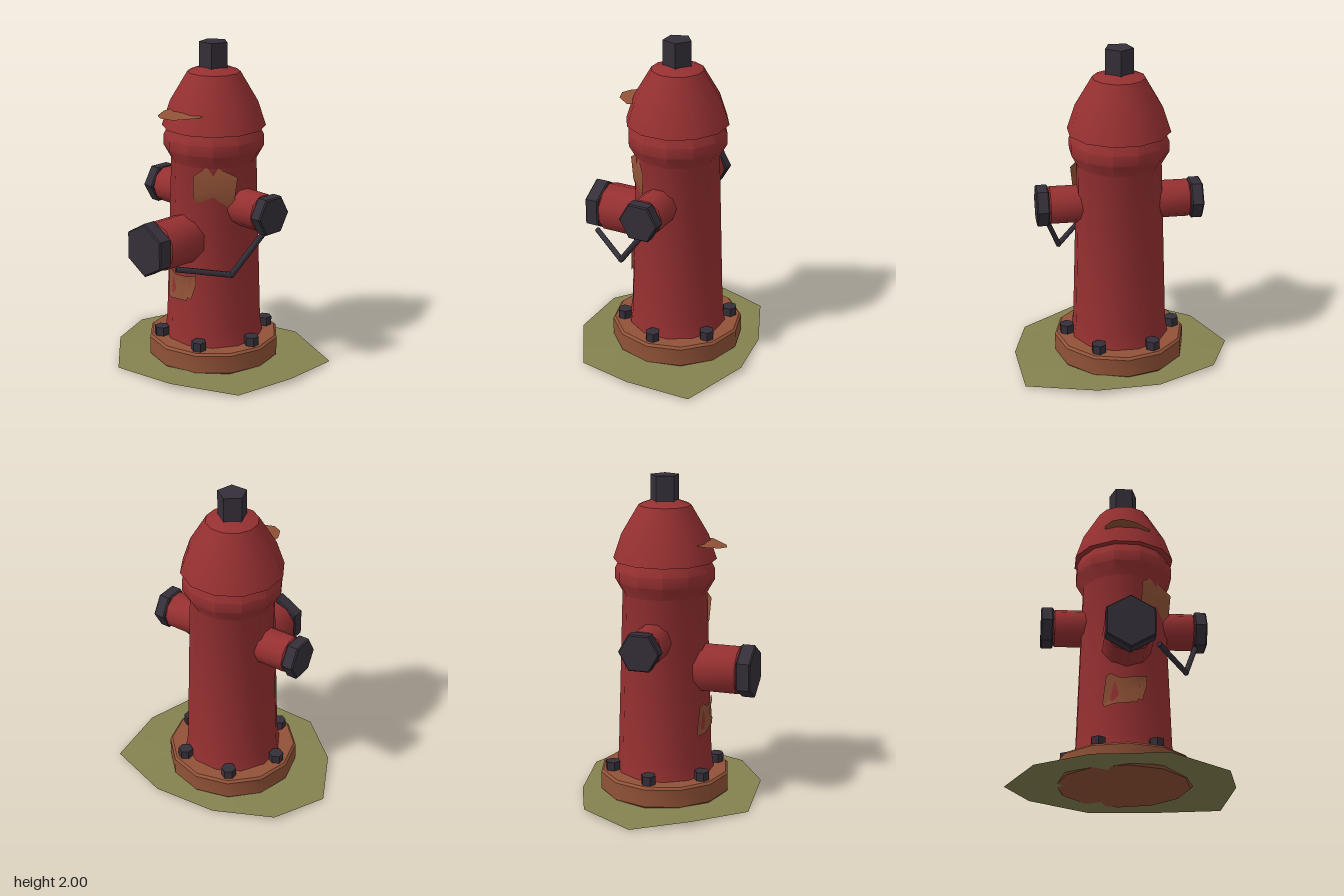
import * as THREE from 'three';
import { toCreasedNormals } from 'three/addons/utils/BufferGeometryUtils.js';

const CX = 0.012, CZ = -0.033; // the hydrant's axis

export function createModel() {
  const model = new THREE.Group();
  model.name = 'hydrant';
  const paint = (name, color, side = THREE.FrontSide) => {
    const m = new THREE.MeshStandardMaterial({ color, side });
    m.name = name;
    return m;
  };
  const red = paint('red paint', 0x963031);
  const iron = paint('dark iron', 0x352f39);
  const rust = paint('rust', 0x915237, THREE.DoubleSide);
  const moss = paint('olive ground', 0x84824f, THREE.DoubleSide);

  const add = (parent, name, geometry, material) => {
    const mesh = new THREE.Mesh(geometry, material);
    mesh.name = name;
    parent.add(mesh);
    return mesh;
  };

  // Turned form from [radius, y] points; only sharp bends stay creased
  const turned = (profile, sides, start = 0, crease = 0.56) => toCreasedNormals(
    new THREE.LatheGeometry(profile.map(([r, y]) => new THREE.Vector2(r, y)), sides, start), crease);

  // Closed prism with bevelled rims
  const prism = (r, y0, y1, sides, bevel = 0, start = 0) => turned([
    [0, y0], [r - bevel, y0], ...(bevel ? [[r, y0 + bevel], [r, y1 - bevel]] : [[r, y1]]),
    [r - bevel, y1], [0, y1]], sides, start, 0.7);

  // Sheet fanned from a centre to a ring listed clockwise
  const sheet = (centre, ring) => {
    const g = new THREE.BufferGeometry();
    g.setAttribute('position', new THREE.Float32BufferAttribute([centre, ...ring].flat(), 3));
    const n = ring.length, index = [];
    for (let i = 0; i < n; i++) index.push(0, 1 + (i + 1) % n, 1 + i);
    g.setIndex(index);
    g.computeVertexNormals();
    return g;
  };

  // Uneven ground
  add(model, 'ground', sheet([CX, 0.03, CZ], [
    [-0.685, 0, -0.035], [-0.535, 0.025, -0.375], [-0.17, 0.005, -0.525], [0.22, 0.03, -0.58],
    [0.645, 0.008, -0.43], [0.68, 0.03, -0.035], [0.59, 0.01, 0.325], [0.23, 0.033, 0.54],
    [-0.215, 0, 0.57], [-0.52, 0.025, 0.295]]), moss);

  const hydrant = new THREE.Group();
  hydrant.name = 'hydrantBody';
  hydrant.position.set(CX, 0, CZ);
  model.add(hydrant);

  // Base flange and its six bolts
  add(hydrant, 'baseFlange', prism(0.41, 0.015, 0.153, 12, 0.014), rust);
  for (let i = 0; i < 6; i++) {
    const a = i * Math.PI / 3;
    add(hydrant, 'flangeBolt', prism(0.046, 0.14, 0.208, 6), iron)
      .position.set(0.335 * Math.cos(a), 0, 0.335 * Math.sin(a));
  }

  // Barrel, bonnet and top nut
  add(hydrant, 'barrel', turned([[0.308, 0.15], [0.293, 0.25], [0.26, 1.285], [0.305, 1.365],
    [0.305, 1.43], [0.272, 1.495]], 12, Math.PI / 12), red);
  add(hydrant, 'bonnet', turned([[0.2, 1.49], [0.315, 1.49], [0.265, 1.64], [0.159, 1.82],
    [0.08, 1.85], [0, 1.85]], 12, Math.PI / 12), red);
  add(hydrant, 'topNut', prism(0.09, 1.84, 2, 5, 0, Math.PI), iron);

  // Outlets: a pipe with a hexagonal cap, made upright and then tipped over
  const outlet = (name, pipeR, capR, from, capAt, to, tip) => {
    const group = new THREE.Group();
    group.name = name;
    add(group, 'outletPipe', tip(prism(pipeR, from, capAt + 0.002, 10, 0.01)), red);
    add(group, 'outletCap', tip(prism(capR, capAt, to, 6, 0.008)), iron);
    hydrant.add(group);
    return group;
  };
  outlet('frontOutlet', 0.153, 0.167, 0.15, 0.488, 0.578, g => g.rotateX(Math.PI / 2)).position.y = 0.823;
  for (const side of [1, -1]) {
    outlet(side > 0 ? 'leftOutlet' : 'rightOutlet', 0.115, 0.127, 0.15, 0.433, 0.51,
      g => g.rotateZ(-side * Math.PI / 2)).position.y = 1.027;
  }

  // Bent retaining rod hanging from the left cap
  const rod = [[0.466, 0.95, -0.05], [0.37, 0.67, 0.168], [0.185, 0.725, 0.438]]
    .map(p => new THREE.Vector3(...p));
  for (let i = 0; i < 2; i++) {
    const dir = rod[i + 1].clone().sub(rod[i]);
    const mesh = add(model, 'retainingRod', new THREE.CylinderGeometry(0.018, 0.018, dir.length() + 0.014, 6), iron);
    mesh.position.copy(rod[i]).addScaledVector(dir, 0.5);
    mesh.quaternion.setFromUnitVectors(new THREE.Vector3(0, 1, 0), dir.normalize());
  }

  // Rust flake beside the left outlet
  add(model, 'upperRustPatch', sheet([0.205, 1.15, 0.168], [
    [0.175, 1.305, 0.155], [0.3, 1.235, 0.05], [0.285, 1.09, 0.06], [0.22, 1.01, 0.09],
    [0.12, 1.06, 0.2], [0.1, 1.1, 0.225], [0.11, 1.24, 0.235]]), rust);

  // Rust flake low on the front, folded round the barrel's facets
  const fold = ([x, y]) => [x, y, 0.255 - Math.max(0, Math.abs(x - CX) - 0.077) * 0.577];
  add(model, 'lowerRustPatch', sheet(fold([0.01, 0.52]), [
    [-0.13, 0.44], [-0.11, 0.605], [-0.085, 0.62], [-0.03, 0.59], [0.075, 0.6], [0.13, 0.615],
    [0.13, 0.555], [0.1, 0.45], [0.085, 0.475], [0.07, 0.44], [-0.065, 0.425], [-0.12, 0.415]].map(fold)), rust);

  // Rust flake sticking out of the bonnet
  add(model, 'bonnetRustPatch', sheet([0.01, 1.605, 0.27], [
    [-0.12, 1.605, 0.205], [-0.06, 1.61, 0.2], [0.04, 1.612, 0.2], [0.155, 1.605, 0.195],
    [0.16, 1.6, 0.23], [0.055, 1.588, 0.34], [-0.025, 1.59, 0.367], [-0.085, 1.592, 0.335],
    [-0.125, 1.6, 0.25]]), rust);

  return model;
}
